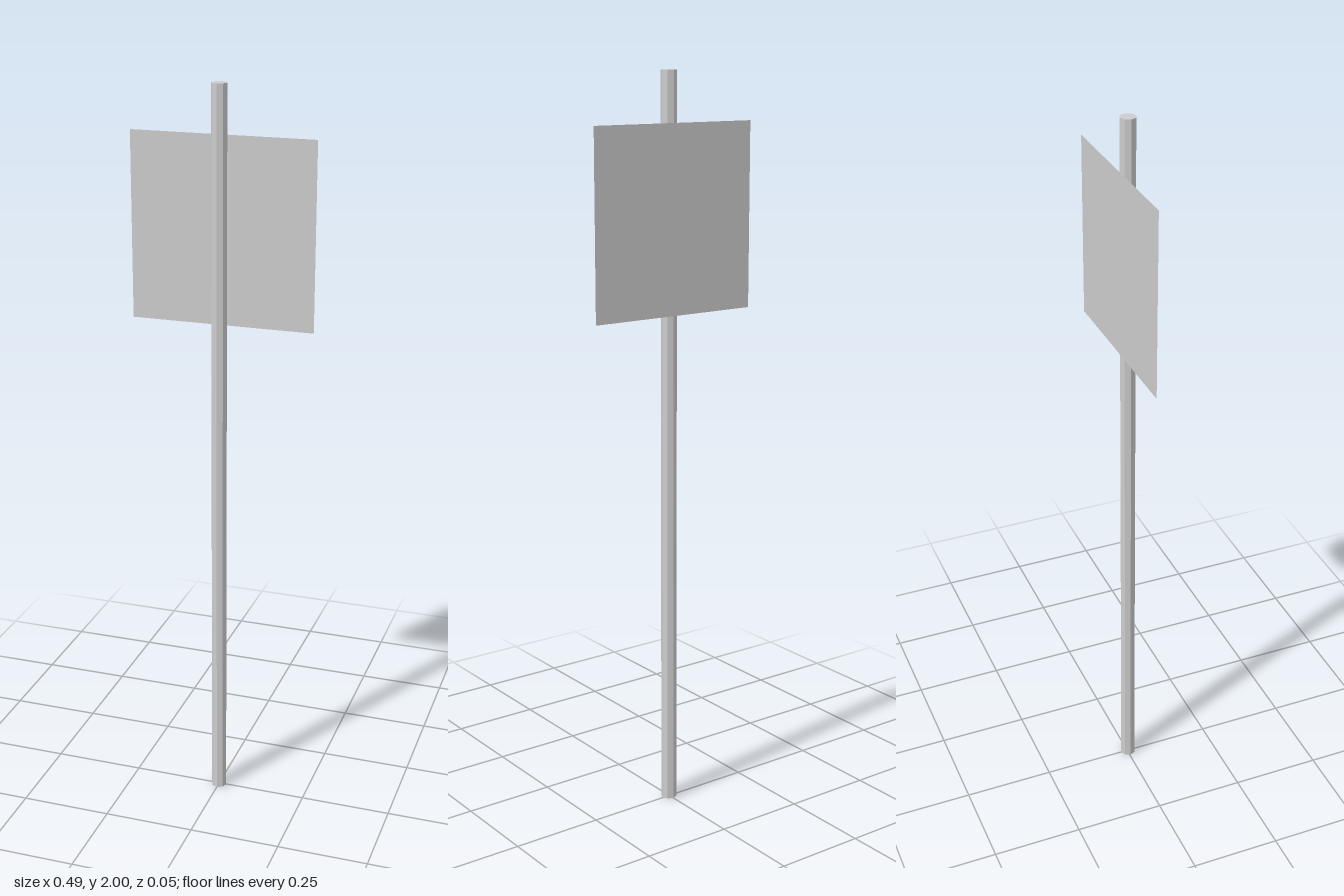
import * as THREE from 'three';

export function createModel() {
  const model = new THREE.Group();
  model.name = 'signpost';

  // Eight-sided capped pole
  const radius = 0.0213;
  const pole = new THREE.Mesh(
    new THREE.CylinderGeometry(radius, radius, 2, 8),
    new THREE.MeshStandardMaterial({ color: 0xcccccc, flatShading: true })
  );
  pole.name = 'pole';
  pole.position.set(0, 1, 0.002);
  model.add(pole);

  // Thin square sign panel just behind the pole
  const panel = new THREE.Mesh(
    new THREE.PlaneGeometry(0.494, 0.494),
    new THREE.MeshStandardMaterial({ color: 0xcccccc, side: THREE.DoubleSide })
  );
  panel.name = 'signPanel';
  panel.position.set(0, 1.622, -0.0233);
  model.add(panel);

  return model;
}
